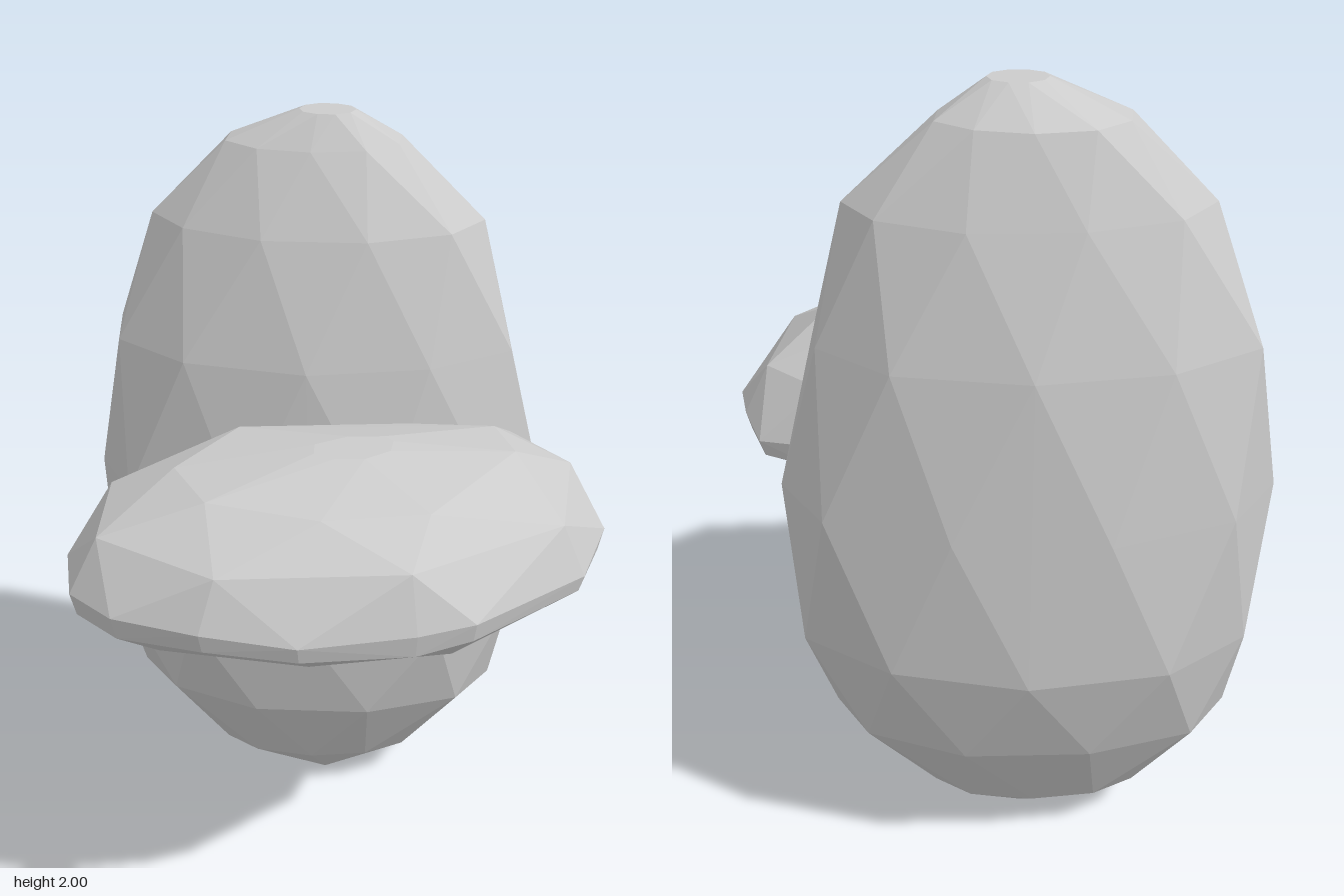
import * as THREE from 'three';
import { ConvexGeometry } from 'three/addons/geometries/ConvexGeometry.js';

const material = new THREE.MeshStandardMaterial({ color: 0xcccccc, flatShading: true });

// Faceted stone: the hull around a set of cross-section points
function stone(name, points) {
  const mesh = new THREE.Mesh(new ConvexGeometry(points), material);
  mesh.name = name;
  return mesh;
}

// u runs along the long diagonal (+x +z), v across it (+x -z)
const diagonal = (u, y, v) => new THREE.Vector3((u + v) * Math.SQRT1_2, y, (u - v) * Math.SQRT1_2);

// Upright slab: elliptical rings, alternately staggered
function uprightStone() {
  const rings = [ // y, uMin, uMax, vMin, vMax
    [2.0, -0.05, 0.09, 0.24, 0.34],
    [1.92, -0.24, 0.21, 0.19, 0.44],
    [1.72, -0.42, 0.42, 0.11, 0.51],
    [1.4, -0.55, 0.52, 0.04, 0.59],
    [1.0, -0.6, 0.59, 0.015, 0.63],
    [0.62, -0.57, 0.57, 0.02, 0.64],
    [0.35, -0.5, 0.5, 0.07, 0.56],
    [0.11, -0.28, 0.26, 0.19, 0.43],
    [0, 0.02, 0.03, 0.29, 0.3],
  ];
  const sides = 10;
  const points = [];
  rings.forEach(([y, u0, u1, v0, v1], r) => {
    for (let i = 0; i < sides; i++) {
      const a = ((i + (r % 2) * 0.5) / sides) * Math.PI * 2;
      const bump = 1 + 0.02 * Math.sin(i * 2.3 + r * 1.7);
      points.push(diagonal(
        (u0 + u1) / 2 + Math.cos(a) * bump * (u1 - u0) / 2,
        y,
        (v0 + v1) / 2 + Math.sin(a) * bump * (v1 - v0) / 2));
    }
  });
  return stone('uprightStone', points);
}

// Flat slab: one outline scaled towards its middle at each height
function flatStone() {
  const outline = [ // x, z
    [-0.71, -0.05], [-0.6, -0.22], [-0.49, -0.29], [-0.2, -0.31], [0.12, -0.14],
    [0.38, 0.08], [0.55, 0.23], [0.6, 0.34], [0.55, 0.46], [0.48, 0.57],
    [0.28, 0.68], [-0.09, 0.68], [-0.22, 0.62], [-0.45, 0.47], [-0.6, 0.3], [-0.7, 0.1],
  ];
  const levels = [ // y, scale
    [1.31, 0.15], [1.27, 0.62], [1.18, 0.9], [1.05, 1],
    [1.0, 0.98], [0.93, 0.82], [0.875, 0.6], [0.85, 0.3],
  ];
  const middle = [-0.03, 0.2];
  const points = [];
  levels.forEach(([y, s], r) => outline.forEach(([x, z], i) => {
    // thin out the sloping rings so the facets stay broad
    if (s < 0.95 && (i + r) % 2) return;
    points.push(new THREE.Vector3(
      middle[0] + (x - middle[0]) * s,
      y + 0.01 * Math.sin(i * 2.1 + r) * (s > 0.5 ? 1 : 0),
      middle[1] + (z - middle[1]) * s));
  }));
  return stone('flatStone', points);
}

export function createModel() {
  const group = new THREE.Group();
  group.name = 'stonePair';
  group.add(uprightStone(), flatStone());
  return group;
}
